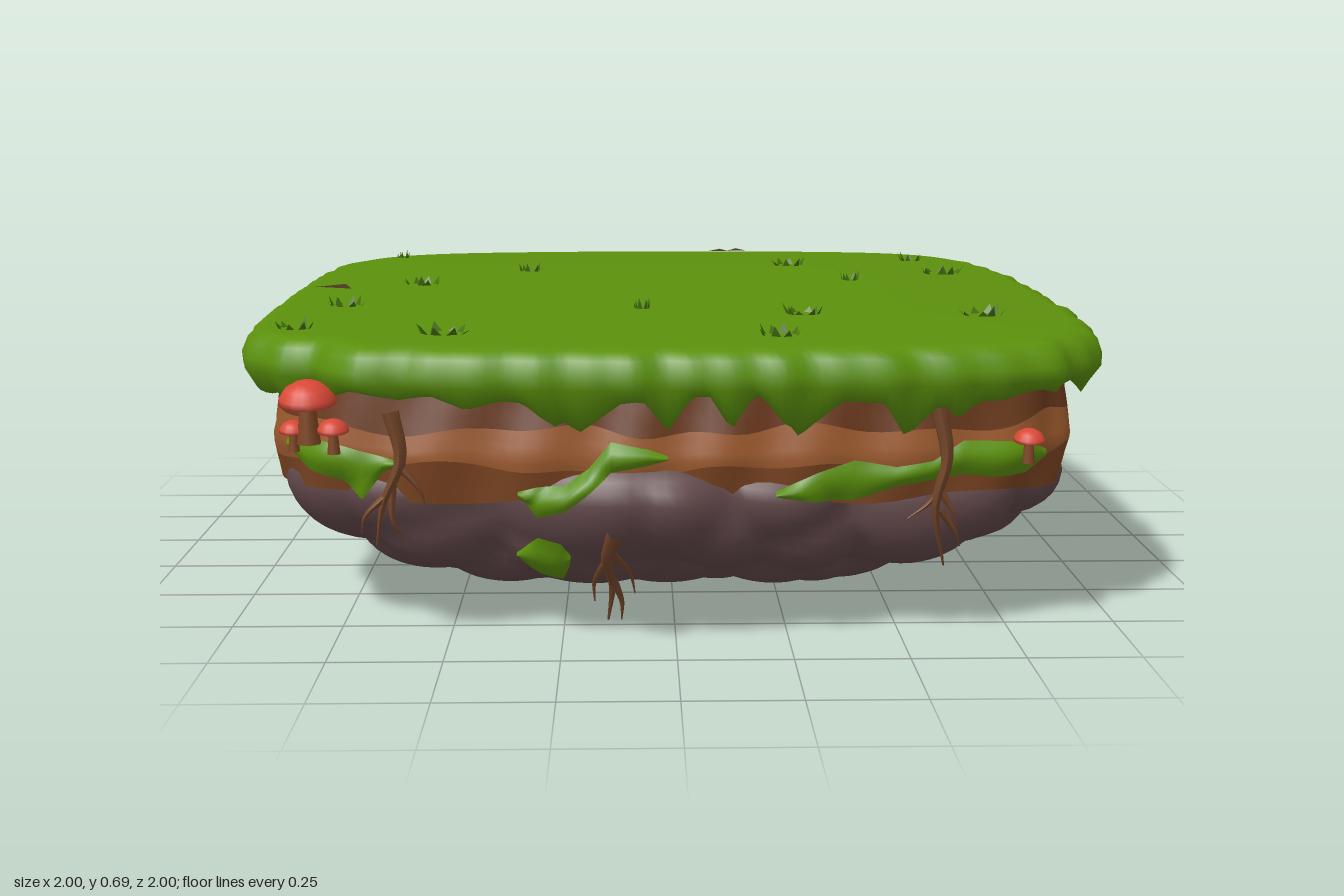
import * as THREE from 'three';
import { mergeGeometries } from 'three/addons/utils/BufferGeometryUtils.js';

const paint = (name, color, side = THREE.FrontSide) => {
  const m = new THREE.MeshStandardMaterial({ color, side });
  m.name = name;
  return m;
};

function seeded(seed) {
  return () => {
    seed = (seed * 1664525 + 1013904223) % 4294967296;
    return seed / 4294967296;
  };
}

// Rounded-square plan with gently bowed front and back, as [x, z]
function plan(k, a, n = 5) {
  const r = k * Math.pow(Math.abs(Math.cos(a)) ** n + Math.abs(Math.sin(a)) ** n, -1 / n);
  const x = r * Math.cos(a), bow = Math.sin((Math.min(1, Math.abs(x) / 0.7) * Math.PI) / 2) ** 2;
  return [x, r * Math.sin(a) * (1 - 0.026 * bow)];
}

// Angle folded so that front and back mirror each other
const fold = (a) => Math.abs(Math.atan2(Math.sin(a), Math.cos(a)));
const wave = (a, f, p) => Math.sin(fold(a) * f + p);

// Closed loft, rows running from top to bottom
function loft(rows, cols, point) {
  const pos = [], idx = [];
  for (let i = 0; i <= rows; i++)
    for (let j = 0; j < cols; j++) pos.push(...point(i / rows, (j / cols) * Math.PI * 2));
  for (let i = 0; i < rows; i++)
    for (let j = 0; j < cols; j++) {
      const a = i * cols + j, b = i * cols + ((j + 1) % cols);
      idx.push(a, b, a + cols, b, b + cols, a + cols);
    }
  return surface(pos, idx);
}

function surface(pos, idx) {
  const g = new THREE.BufferGeometry();
  g.setAttribute('position', new THREE.Float32BufferAttribute(pos, 3));
  g.setIndex(idx);
  g.computeVertexNormals();
  return g;
}

export function createModel() {
  const model = new THREE.Group();
  const grass = paint('grass green', 0x5b900c);
  const moss = paint('moss green', 0x5b900c, THREE.DoubleSide);
  const blade = paint('dark blade green', 0x44700f, THREE.DoubleSide);
  const darkSoil = paint('dark soil', 0x6a391c);
  const lightSoil = paint('light soil', 0x9c5a2e);
  const midSoil = paint('middle soil', 0x7c4522);
  const stone = paint('stone', 0x62484a);
  const bark = paint('root brown', 0x74462a);
  const red = paint('mushroom red', 0xd84836);
  const shard = paint('shard brown', 0x4a3a22, THREE.DoubleSide);
  const add = (name, geometry, material) => {
    const m = new THREE.Mesh(geometry, material);
    m.name = name;
    model.add(m);
    return m;
  };

  // Grass slab with an uneven hanging rim, longest on the front and back
  const rand = seeded(11);
  const drips = Array.from({ length: 26 }, (_, i) => ({
    a: ((i + rand()) / 26) * Math.PI, w: 0.035 + rand() * 0.06, h: 0.015 + rand() ** 1.5 * 0.075 }));
  const rimY = (a) => {
    let d = 0;
    for (const q of drips) d = Math.max(d, q.h * (1 - Math.abs(fold(a) - q.a) / q.w));
    return 0.565 - d * (Math.abs(Math.cos(a)) > 0.8 ? 0.6 : 1) + 0.01 * wave(a, 9, 1);
  };
  const rim = [[0, 0.674], [0.5, 0.674], [0.93, 0.674], [0.965, 0.667], [0.985, 0.65], [0.998, 0.618], [0.996, 0.59]];
  add('grassSlab', loft(9, 360, (u, a) => {
    const i = Math.round(u * 9), low = rimY(a);
    const [k, y] = i < 7 ? rim[i] : i === 7 ? [0.975 - (0.56 - low) * 0.15, low] : [i === 8 ? 0.94 : 0.88, 0.572];
    const ragged = i > 2 ? 0.004 * (wave(a, 23, 0) + wave(a, 37, 2) + wave(a, 61, 1) - 1) : 0;
    const notch = i > 1 ? 0.05 * Math.exp(-(((a - 2.32) / 0.08) ** 2)) : 0;
    const [x, z] = plan(Math.min(1, k + ragged) - notch, a);
    return [x * (z < 0 && x > 0 ? 1 - 0.028 * Math.min(1, z * z * 2.5) : 1), y, z];
  }), grass);

  // Soil strata sharing wavy borders
  const soilK = (y) => 0.94 - 0.018 * Math.abs(y - 0.43) / 0.1;
  const borders = [
    () => 0.62,
    (a) => 0.49 + 0.01 * wave(a, 11, 0) + 0.008 * wave(a, 25, 1),
    (a) => 0.405 + 0.012 * wave(a, 9, 2) + 0.008 * wave(a, 22, 0),
    (a) => 0.335 + 0.01 * wave(a, 14, 1)];
  const strata = [['upperSoil', darkSoil], ['middleSoil', lightSoil], ['lowerSoil', midSoil]];
  const body = strata.map(([name, mat], s) => add(name, loft(5, 240, (u, a) => {
    const y = THREE.MathUtils.lerp(borders[s](a), borders[s + 1](a), u);
    const [x, z] = plan(soilK(y) + 0.006 * wave(a, 31, y * 14), a);
    return [x, y, z];
  }), mat));

  // Rock bowl covered in large uneven boulders
  const bowl = new THREE.SplineCurve([[0.84, 0.44], [0.9, 0.375], [0.895, 0.3], [0.845, 0.215], [0.75, 0.145], [0.56, 0.095], [0.32, 0.053], [0, 0.055]]
    .map((p) => new THREE.Vector2(...p)));
  const bowlPoint = (u, a) => {
    const p = bowl.getPointAt(u);
    const [x, z] = plan(Math.max(0, p.x), a, 5 - 2.4 * Math.sqrt(u) * u ** 0.2);
    return new THREE.Vector3(x, p.y, z);
  };
  const rr = seeded(5), lumps = [];
  for (let i = 0; i < 7; i++) {
    const u = 0.12 + i * 0.125, count = Math.max(2, Math.round(11 * (1.08 - u * 0.9)));
    for (let j = 0; j < count; j++) {
      const at = bowlPoint(Math.min(1, u + (rr() - 0.5) * 0.1), ((j + 0.1 + rr() * 0.8) / count) * Math.PI);
      lumps.push({ at, size: 0.15 + rr() * 0.09 });
    }
  }
  for (const x of [-0.26, 0.26]) lumps.push({ at: new THREE.Vector3(x, 0.04, 0.28), size: 0.22 });
  body.push(add('rockBase', loft(48, 240, (u, a) => {
    const p = bowlPoint(u, a), q = new THREE.Vector3(p.x, p.y, Math.abs(p.z));
    let d = 1;
    for (const l of lumps) d = Math.min(d, l.at.distanceTo(q) / l.size);
    const out = new THREE.Vector3(p.x, (p.y - 0.45) * 2.5, p.z).normalize();
    p.addScaledVector(out, 0.08 * (1 - d * d) - 0.035);
    // Higher outcrop on the front and back faces
    const swell = Math.exp(-(((p.x + 0.06) / 0.17) ** 2)) * Math.abs(p.z) ** 3 * Math.max(0, 1 - u / 0.3);
    p.z += Math.sign(p.z) * 0.08 * swell;
    return [p.x, Math.max(0, p.y), p.z];
  }), stone));

  // Depth of the island's face at a given x and y
  const ray = new THREE.Raycaster();
  const depth = (x, y) => {
    ray.set(new THREE.Vector3(x, y, 2), new THREE.Vector3(0, 0, -1));
    const hit = ray.intersectObjects(body)[0];
    return hit ? Math.max(0.6, hit.point.z) : 0.78;
  };

  // Moss patches as [x, top, bottom] columns
  const patches = [
    [[-0.86, 0.44, 0.42], [-0.8, 0.46, 0.385], [-0.72, 0.45, 0.37], [-0.68, 0.44, 0.33], [-0.63, 0.43, 0.395], [-0.59, 0.42, 0.415]],
    [[-0.34, 0.36, 0.35], [-0.3, 0.37, 0.3], [-0.24, 0.375, 0.32], [-0.19, 0.41, 0.36], [-0.14, 0.47, 0.405], [-0.06, 0.455, 0.42], [-0.02, 0.44, 0.43]],
    [[-0.35, 0.2, 0.19], [-0.3, 0.25, 0.15], [-0.25, 0.24, 0.13], [-0.23, 0.21, 0.19]],
    [[0.21, 0.36, 0.35], [0.3, 0.4, 0.335], [0.38, 0.425, 0.335], [0.47, 0.41, 0.365], [0.55, 0.42, 0.375], [0.62, 0.46, 0.385], [0.7, 0.455, 0.375], [0.77, 0.45, 0.375], [0.82, 0.42, 0.4]]];
  const mossPatch = (cols, s) => {
    const pos = [], idx = [], n = (cols.length - 1) * 5, m = 6;
    for (let i = 0; i <= n; i++) {
      const c = Math.min(cols.length - 2, Math.floor(i / 5)), t = i / 5 - c;
      const [x, top, low] = cols[c].map((v, k) => THREE.MathUtils.lerp(v, cols[c + 1][k], t));
      for (let j = 0; j <= m; j++) {
        const y = THREE.MathUtils.lerp(top, low, j / m);
        pos.push(x, y, s * (depth(x, y) + 0.007 + 0.013 * Math.sin((Math.PI * j) / m)));
        if (i < n && j < m) {
          const a = i * (m + 1) + j, b = a + m + 1;
          idx.push(...(s > 0 ? [a, a + 1, b, b, a + 1, b + 1] : [a, b, a + 1, b, b + 1, a + 1]));
        }
      }
    }
    return surface(pos, idx);
  };

  // Tapering root strands through [x, y] points, hanging clear of the rock
  const strand = (pts, r, s) => {
    const c = new THREE.CatmullRomCurve3(pts.map(([x, y]) =>
      new THREE.Vector3(x, y, s * Math.max(Math.min(0.9, 0.77 + 0.45 * y), depth(x, y) + 0.012))));
    const g = new THREE.TubeGeometry(c, 14, r, 6), p = g.attributes.position, v = new THREE.Vector3();
    for (let i = 0; i < p.count; i++) {
      const t = Math.floor(i / 7) / 14;
      v.fromBufferAttribute(p, i).lerp(c.getPointAt(t), 0.88 * t);
      p.setXYZ(i, v.x, v.y, v.z);
    }
    g.computeVertexNormals();
    return g;
  };
  const roots = [
    [[[-0.61, 0.53], [-0.59, 0.43], [-0.63, 0.33], [-0.65, 0.23]], [[-0.6, 0.42], [-0.55, 0.36], [-0.54, 0.32]], [[-0.62, 0.35], [-0.67, 0.3], [-0.68, 0.26]], [[-0.61, 0.37], [-0.61, 0.29], [-0.59, 0.25]]],
    [[[0.56, 0.54], [0.58, 0.43], [0.56, 0.32], [0.59, 0.17]], [[0.58, 0.4], [0.55, 0.33], [0.5, 0.29]], [[0.57, 0.31], [0.61, 0.25], [0.62, 0.22]], [[0.57, 0.35], [0.6, 0.3], [0.61, 0.27]]],
    [[[-0.13, 0.28], [-0.15, 0.2], [-0.14, 0.12], [-0.15, 0.03]], [[-0.14, 0.22], [-0.1, 0.15], [-0.09, 0.1]], [[-0.15, 0.2], [-0.18, 0.13], [-0.18, 0.08]], [[-0.14, 0.14], [-0.12, 0.08], [-0.12, 0.03]]]];

  // Mushrooms: x, cap base y, z, cap radius, stem foot y
  const mushrooms = [[-0.79, 0.545, 0.868, 0.062, 0.46], [-0.735, 0.485, 0.882, 0.034, 0.44], [-0.825, 0.48, 0.855, 0.03, 0.44], [0.765, 0.455, 0.868, 0.034, 0.41]];
  for (const s of [1, -1]) {
    const place = s > 0 ? 'front' : 'back';
    for (const c of patches) add(place + 'Moss', mossPatch(c, s), moss);
    for (const r of roots)
      add(place + 'Root', mergeGeometries(r.map((pts, i) => strand(pts, i ? 0.011 : 0.02, s))), bark);
    for (const [x, y, z, r, foot] of mushrooms) {
      const profile = [[0, 0], [0.7, -0.08], [1, -0.02], [0.97, 0.2], [0.75, 0.52], [0.4, 0.72], [0, 0.78]];
      const cap = add('mushroomCap', new THREE.LatheGeometry(profile.map(([a, b]) => new THREE.Vector2(a * r, b * r)), 18), red);
      cap.position.set(x, y, z * s);
      cap.rotation.x = 0.12 * s;
      const stem = add('mushroomStem', new THREE.CylinderGeometry(r * 0.25, r * 0.42, y - foot + 0.01, 10), midSoil);
      stem.position.set(x, (y + foot) / 2, z * s);
    }
  }

  // Grass tufts: x, z, spread
  const tufts = [[-0.78, -0.77, 0.02], [-0.38, -0.42, 0.035], [0.36, -0.55, 0.05], [0.73, -0.66, 0.035], [0.77, -0.34, 0.06], [0.5, -0.2, 0.03], [-0.65, -0.12, 0.05],
    [-0.79, 0.29, 0.045], [-0.07, 0.35, 0.022], [0.31, 0.45, 0.05], [0.73, 0.48, 0.055], [-0.85, 0.66, 0.045], [-0.51, 0.74, 0.06], [0.23, 0.78, 0.05]];
  for (const [x, z, w] of tufts) {
    const pos = [], idx = [];
    for (let i = 0; i < 8; i++) {
      const a = (i / 8) * Math.PI * 2 + rand() * 0.5, c = Math.cos(a), d = Math.sin(a) * 0.65, b = w * 0.24;
      const k = w * 0.75, tip = w * (0.9 + rand() * 0.2);
      pos.push(x + c * k - Math.sin(a) * b, 0.672, z + d * k + c * b, x + c * k + Math.sin(a) * b, 0.672, z + d * k - c * b,
        x + c * tip, 0.684 + rand() * 0.016, z + d * tip);
      idx.push(i * 3, i * 3 + 2, i * 3 + 1);
    }
    add('grassTuft', surface(pos, idx), blade);
  }

  // Small flat shards near the edge, as [x, z] corners
  for (const c of [[[0.145, -0.885], [0.2, -0.885], [0.18, -0.945]], [[0.2, -0.885], [0.258, -0.89], [0.23, -0.96]], [[-0.92, -0.03], [-0.82, 0.01], [-0.85, -0.09]]])
    add('shard', surface(c.flatMap(([x, z]) => [x, 0.68, z]), [0, 1, 2]), shard);

  return model;
}
